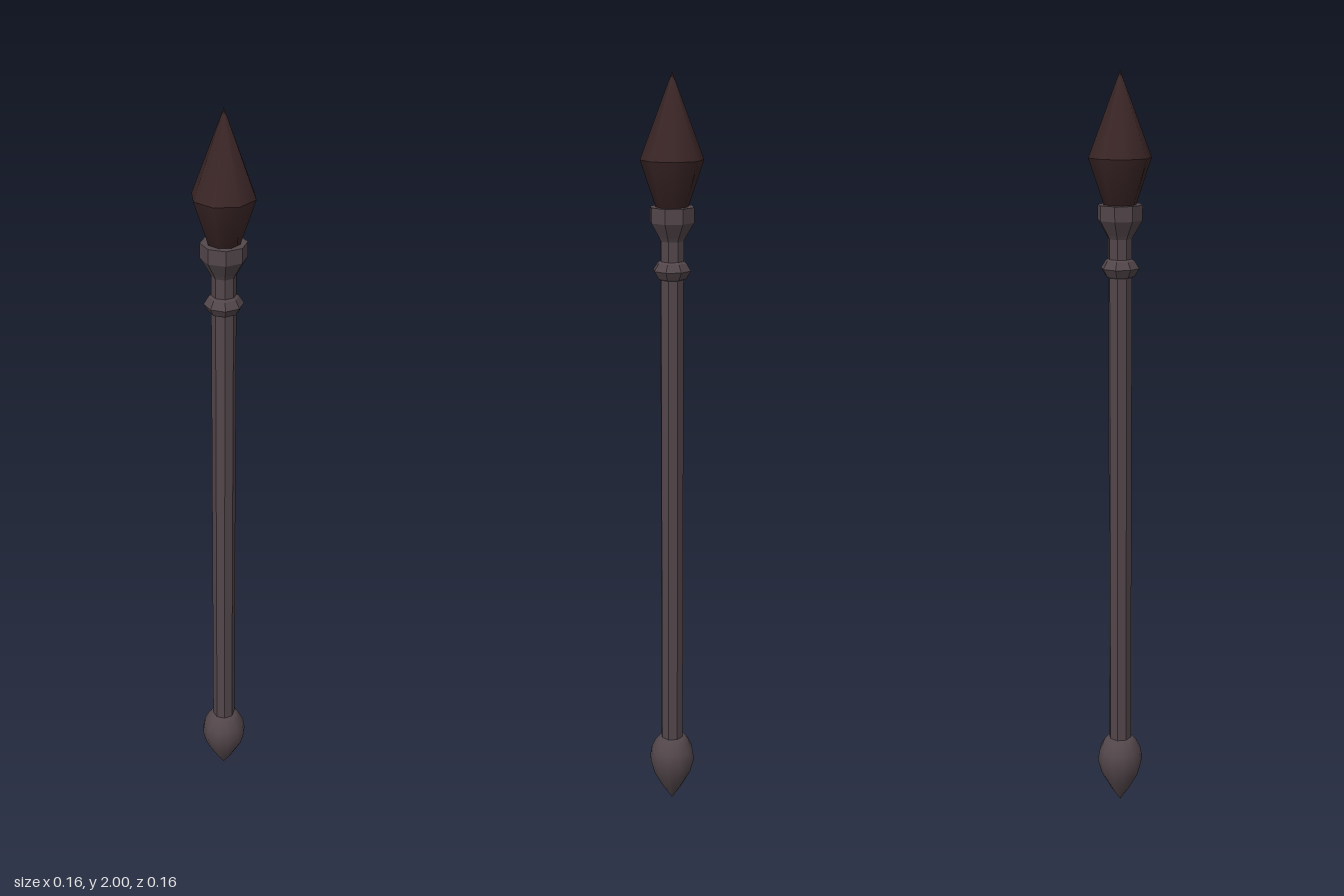
import * as THREE from 'three';

export function createModel() {
  const group = new THREE.Group();
  group.name = 'spear';
  const darkHead = new THREE.MeshStandardMaterial({ color: 0x3a2526 });
  darkHead.name = 'dark red brown';
  const metal = new THREE.MeshStandardMaterial({ color: 0x52464a, flatShading: true });
  metal.name = 'grey metal';

  // Turns a profile of [radius, y] points, listed from bottom to top.
  // turned = true puts a flat face, not a corner, to the front.
  function turn(name, profile, sides, material, turned, smooth) {
    const points = profile.map(([r, y]) => new THREE.Vector2(r, y));
    let geometry = new THREE.LatheGeometry(points, sides, turned ? Math.PI / sides : 0);
    if (!smooth) {
      geometry = geometry.toNonIndexed();
      geometry.computeVertexNormals();
    }
    const mesh = new THREE.Mesh(geometry, material);
    mesh.name = name;
    group.add(mesh);
  }

  // Eight-sided head: long upper point and short lower taper
  turn('headPoint', [[0.08, 1.79], [0, 2]], 8, darkHead, false, true);
  turn('headTaper', [[0, 1.65], [0.033, 1.65], [0.08, 1.79]], 8, darkHead, false, true);

  // Socket, neck ring and shaft
  turn('socket', [[0.031, 1.59], [0.036, 1.6], [0.058, 1.637], [0.058, 1.675], [0, 1.675]], 8, metal, true);
  turn('neckRing', [[0.03, 1.492], [0.038, 1.496], [0.05, 1.516], [0.038, 1.535], [0.03, 1.54]], 8, metal, true);
  turn('shaft', [[0.031, 0.17], [0.031, 1.66]], 8, metal, true);

  // Smooth teardrop pommel
  const pommelMetal = new THREE.MeshStandardMaterial({ color: 0x52464a });
  pommelMetal.name = 'smooth grey metal';
  turn('pommel', [[0, 0], [0.026, 0.04], [0.052, 0.088], [0.063, 0.13], [0.058, 0.16], [0.047, 0.183], [0.034, 0.199], [0, 0.2]],
    12, pommelMetal, false, true);

  return group;
}
